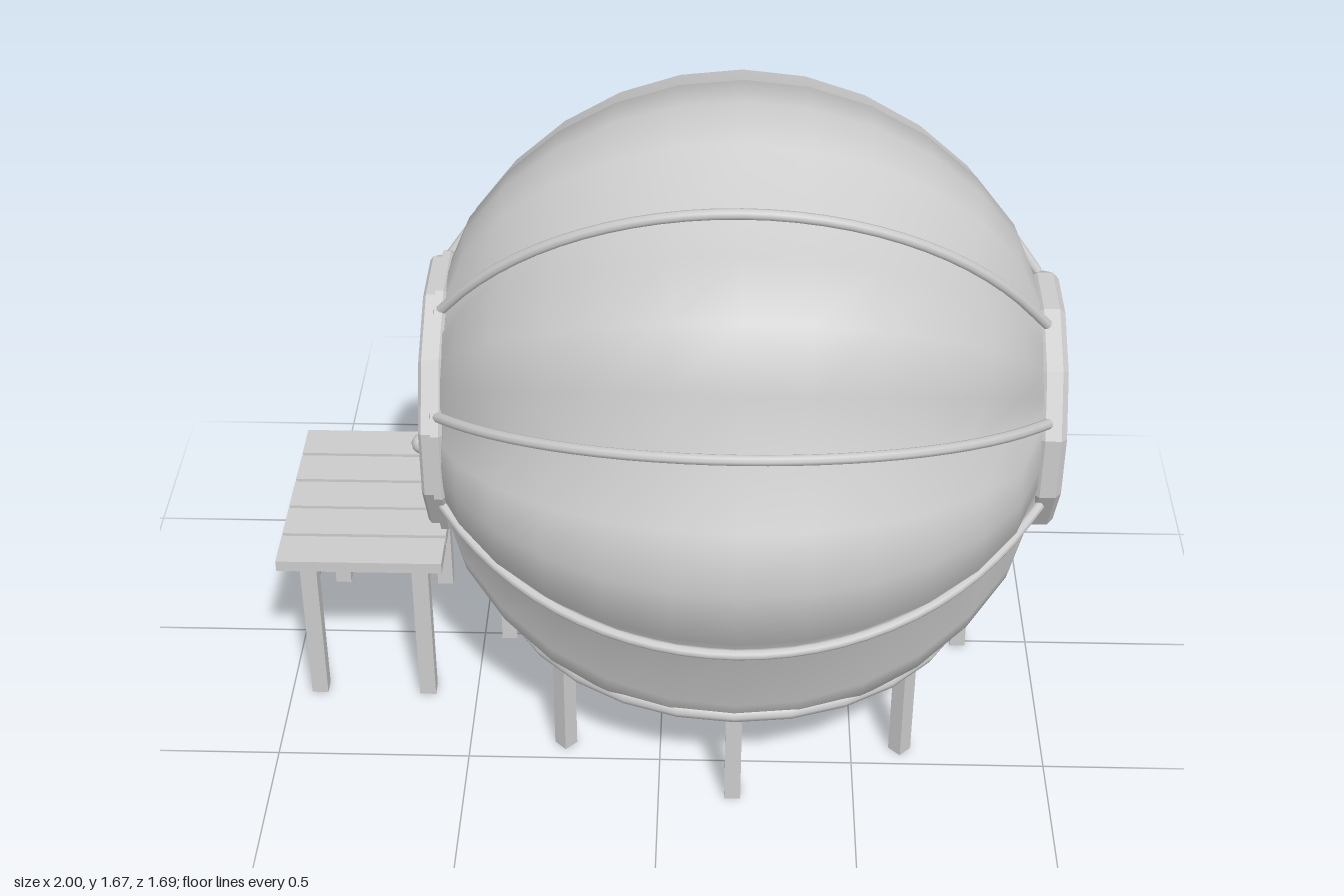
import * as THREE from 'three';

const CX = 0.19, CY = 0.827;          // centre of the inflated body
const T0 = 0.405;                     // polar angle where the body meets its end caps
const ROWS = 12, COLS = 32;
const material = new THREE.MeshStandardMaterial({ color: 0xcccccc, side: THREE.DoubleSide });
const flat = new THREE.MeshStandardMaterial({ color: 0xcccccc, flatShading: true });

// Point on the lobed body: u runs along x (0 = +x end), phi turns around it from the top
function bodyPoint(u, phi, lift = 0) {
  const t = T0 + u * (Math.PI - 2 * T0);
  const s = Math.max(0, Math.sin(Math.PI * u));
  const valley = 0.815 - 0.067 * Math.pow(s, 0.8);
  const peak = 0.815 + 0.03 * Math.pow(s, 0.3);
  let bulge = Math.pow(Math.abs(Math.cos(4 * phi)), 0.3);
  if (Math.abs(Math.cos(4 * phi)) < 1e-6) bulge = 0;
  if (Math.cos(phi) < -0.93) bulge *= 0.5;          // the lowest lobe is squashed a little
  const r = valley + (peak - valley) * bulge + lift;
  return new THREE.Vector3(
    CX + r * Math.cos(t), CY + r * Math.sin(t) * Math.cos(phi), r * Math.sin(t) * Math.sin(phi));
}

function bodyGeometry() {
  const pos = [], index = [];
  for (let i = 0; i <= ROWS; i++)
    for (let j = 0; j < COLS; j++)
      pos.push(...bodyPoint(i / ROWS, (j / COLS) * Math.PI * 2).toArray());
  for (let i = 0; i < ROWS; i++)
    for (let j = 0; j < COLS; j++) {
      const k = (j + 1) % COLS;
      const a = i * COLS + j, b = a + COLS, c = (i + 1) * COLS + k, d = i * COLS + k;
      index.push(a, b, c, a, c, d);
    }
  const g = new THREE.BufferGeometry();
  g.setAttribute('position', new THREE.Float32BufferAttribute(pos, 3));
  g.setIndex(index);
  g.computeVertexNormals();
  return g;
}

export function createModel() {
  const model = new THREE.Group();

  const add = (name, geometry, x = 0, y = 0, z = 0, mat = flat, parent = model) => {
    const mesh = new THREE.Mesh(geometry, mat);
    mesh.name = name;
    mesh.position.set(x, y, z);
    parent.add(mesh);
    return mesh;
  };
  const group = (name) => {
    const g = new THREE.Group();
    g.name = name;
    model.add(g);
    return g;
  };
  // Twelve-sided turned disc, profile given as [radius, height]
  const disc = (name, profile, x, dir) => {
    const pts = profile.map(([r, h]) => new THREE.Vector2(r, h));
    const m = add(name, new THREE.LatheGeometry(pts, 12, Math.PI / 12), x, CY, 0);
    m.rotation.z = -dir * Math.PI / 2;
    return m;
  };

  // Inflated body
  add('body', bodyGeometry(), 0, 0, 0, material);

  // Straps lying in the valleys between the lobes
  const straps = group('straps');
  for (let k = 0; k < 8; k++) {
    const phi = Math.PI / 8 + k * Math.PI / 4;
    const pts = [];
    for (let i = 0; i <= ROWS; i++) pts.push(bodyPoint(i / ROWS, phi, 0.013));
    const curve = new THREE.CatmullRomCurve3(pts);
    add('strap', new THREE.TubeGeometry(curve, 28, 0.0135, 8), 0, 0, 0, material, straps);
  }

  // Closed end cap with a raised rim
  disc('endCap', [[0, -0.02], [0.3, -0.02], [0.322, -0.01], [0.334, 0.005], [0.334, 0.045],
    [0.318, 0.06], [0.306, 0.06], [0.304, 0.052], [0, 0.052]], 0.94, 1);

  // Entrance: frame, door and knob
  disc('doorFrame', [[0, -0.02], [0.36, -0.02], [0.37, -0.012], [0.37, 0.008], [0, 0.008]], -0.56, -1);
  disc('door', [[0, 0], [0.355, 0], [0.355, 0.028], [0.345, 0.036], [0.328, 0.036],
    [0.326, 0.03], [0, 0.03]], -0.565, -1);
  add('doorKnob', new THREE.SphereGeometry(0.026, 12, 8), -0.605, CY, 0.25, material);

  // Support ring and its eight legs
  const ring = add('supportRing', new THREE.TorusGeometry(0.63, 0.021, 8, 28), CX, 0.28, 0, material);
  ring.rotation.x = Math.PI / 2;
  const legs = group('supportLegs');
  for (let k = 0; k < 8; k++) {
    const a = k * Math.PI / 4;
    const leg = add('supportLeg', new THREE.BoxGeometry(0.041, 0.27, 0.041),
      CX + 0.62 * Math.cos(a), 0.135, 0.62 * Math.sin(a), flat, legs);
    leg.rotation.y = -a;
  }

  // Plank landing in front of the door
  const deck = group('landing');
  for (let i = -2; i <= 2; i++)
    add('plank', new THREE.BoxGeometry(0.43, 0.031, 0.109), -0.785, 0.46, i * 0.12, flat, deck);
  for (const x of [-0.925, -0.633])
    for (const z of [-0.237, 0.237])
      add('landingLeg', new THREE.BoxGeometry(0.043, 0.45, 0.043), x, 0.225, z, flat, deck);

  return model;
}
